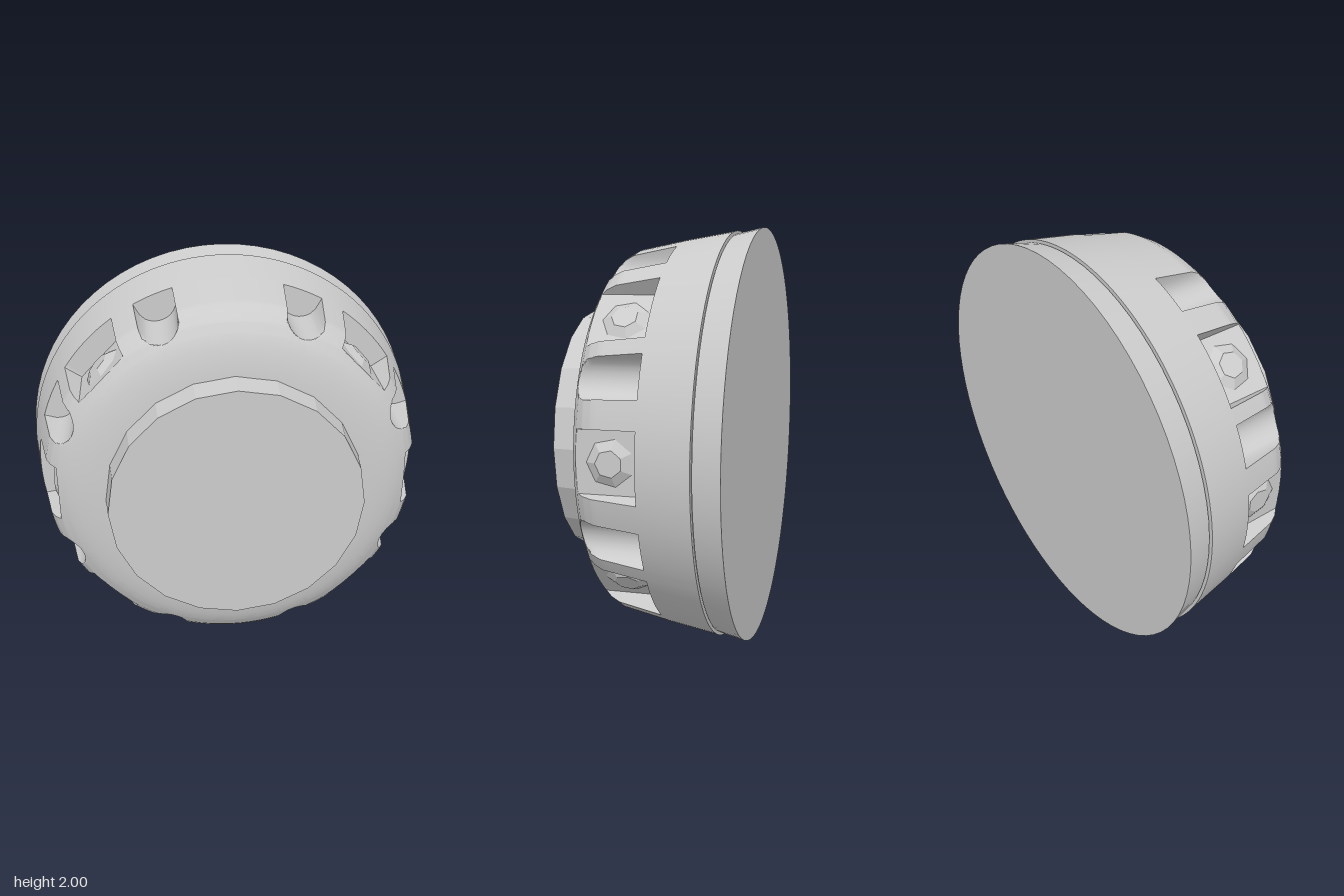
import * as THREE from 'three';
import { toCreasedNormals } from 'three/addons/utils/BufferGeometryUtils.js';

const RAD = Math.PI / 180;
const material = new THREE.MeshStandardMaterial({ color: 0xcccccc });
const flatMaterial = new THREE.MeshStandardMaterial({ color: 0xcccccc, flatShading: true });

// Housing outline as [z, radius], back to front
const PROFILE = [
  [-0.207, 0], [-0.207, 0.985], [0.03, 0.945], [0.245, 0.902], [0.29, 0.878],
  [0.325, 0.845], [0.355, 0.797], [0.375, 0.745], [0.39, 0.68], [0.4, 0.6], [0.4, 0],
];
const POCKET_BACK = 0.035, POCKET_FRONT = 0.355;
const WIDE_FLOOR = 0.838;

// Pockets on one side, mirrored to the other: angle and half width in degrees
const POCKETS = [];
for (const [angle, half, wide] of [
  [0, 9.5, true], [23.5, 6, false], [44.3, 10.2, true], [68, 6, false],
]) {
  const angles = angle ? [angle, -angle] : [0];
  for (const a of angles) {
    POCKETS.push({ angle: a, half, wide }, { angle: 180 - a, half, wide });
  }
}

// Radius of the pocket floor at an angle, or Infinity outside every pocket
function floorRadius(deg) {
  for (const p of POCKETS) {
    const d = ((deg - p.angle + 540) % 360 + 360) % 360 - 180;
    if (Math.abs(d) > p.half) continue;
    if (p.wide) return WIDE_FLOOR / Math.cos(d * RAD);
    const t = d / p.half;
    return 0.895 - 0.08 * Math.sqrt(Math.max(0, 1 - t * t)); // scooped
  }
  return Infinity;
}

function housingGeometry() {
  // Rows: outline points, with extra rows where the pockets run
  const rows = [];
  PROFILE.forEach(([z, r], i) => {
    rows.push([z, r]);
    if (z < 0 || z >= POCKET_FRONT) return;
    const next = PROFILE[i + 1];
    const at = (k) => [z + (next[0] - z) * k, r + (next[1] - r) * k];
    if (z < POCKET_BACK) {
      const k = (POCKET_BACK - z) / (next[0] - z);
      rows.push(at(k), at(k + 0.002));
    }
    for (let s = 1; s < 8; s++) rows.push(at(s / 8));
  });

  // Columns: even steps plus a close pair at each pocket wall
  const columns = [];
  for (let i = 0; i < 120; i++) columns.push(i * 3);
  for (const p of POCKETS) {
    for (const side of [-1, 1]) {
      for (const e of [-0.03, 0.03]) {
        columns.push((p.angle + side * (p.half + e) + 720) % 360);
      }
    }
    for (let k = -7; k <= 7; k++) columns.push((p.angle + p.half * k / 8 + 720) % 360);
  }
  const degrees = [...new Set(columns)].sort((a, b) => a - b);

  const positions = [], index = [];
  const n = degrees.length;
  for (const [z, r] of rows) {
    const inPocket = z > POCKET_BACK + 1e-5 && z < POCKET_FRONT;
    for (const deg of degrees) {
      const rr = inPocket ? Math.min(r, floorRadius(deg)) : r;
      positions.push(rr * Math.cos(deg * RAD), rr * Math.sin(deg * RAD), z);
    }
  }
  for (let j = 0; j < rows.length - 1; j++) {
    for (let i = 0; i < n; i++) {
      const a = j * n + i, b = j * n + (i + 1) % n;
      if (rows[j][1] > 0) index.push(a, b, b + n);
      if (rows[j + 1][1] > 0) index.push(a, b + n, a + n);
    }
  }
  const geometry = new THREE.BufferGeometry();
  geometry.setAttribute('position', new THREE.Float32BufferAttribute(positions, 3));
  geometry.setIndex(index);
  return toCreasedNormals(geometry, 35 * RAD);
}

// Round part along z between two depths
function drum(name, zBack, zFront, rBack, rFront, sides, mat) {
  const geometry = new THREE.CylinderGeometry(rFront, rBack, zFront - zBack, sides);
  geometry.rotateX(Math.PI / 2);
  geometry.translate(0, 0, (zBack + zFront) / 2);
  const mesh = new THREE.Mesh(geometry, mat);
  mesh.name = name;
  return mesh;
}

export function createModel() {
  const group = new THREE.Group();
  group.name = 'roundHousing';
  group.position.y = 1;

  const housing = new THREE.Mesh(housingGeometry(), material);
  housing.name = 'housing';
  group.add(housing);

  group.add(drum('backPlate', -0.335, -0.212, 1, 0.972, 72, material));
  group.add(drum('backNeck', -0.22, -0.2, 0.96, 0.96, 72, material));
  group.add(drum('frontDisc', 0.38, 0.527, 0.614, 0.6, 20, flatMaterial));

  // Low faceted stud on the floor of each wide pocket
  const studGeometry = new THREE.CylinderGeometry(0.06, 0.115, 0.03, 7);
  studGeometry.rotateZ(-Math.PI / 2);
  studGeometry.translate(WIDE_FLOOR + 0.01, 0, 0.175);
  for (const p of POCKETS.filter((q) => q.wide)) {
    const stud = new THREE.Mesh(studGeometry, flatMaterial);
    stud.name = 'pocketStud';
    stud.rotation.z = p.angle * RAD;
    group.add(stud);
  }

  const model = new THREE.Group();
  model.name = 'model';
  model.add(group);
  return model;
}
